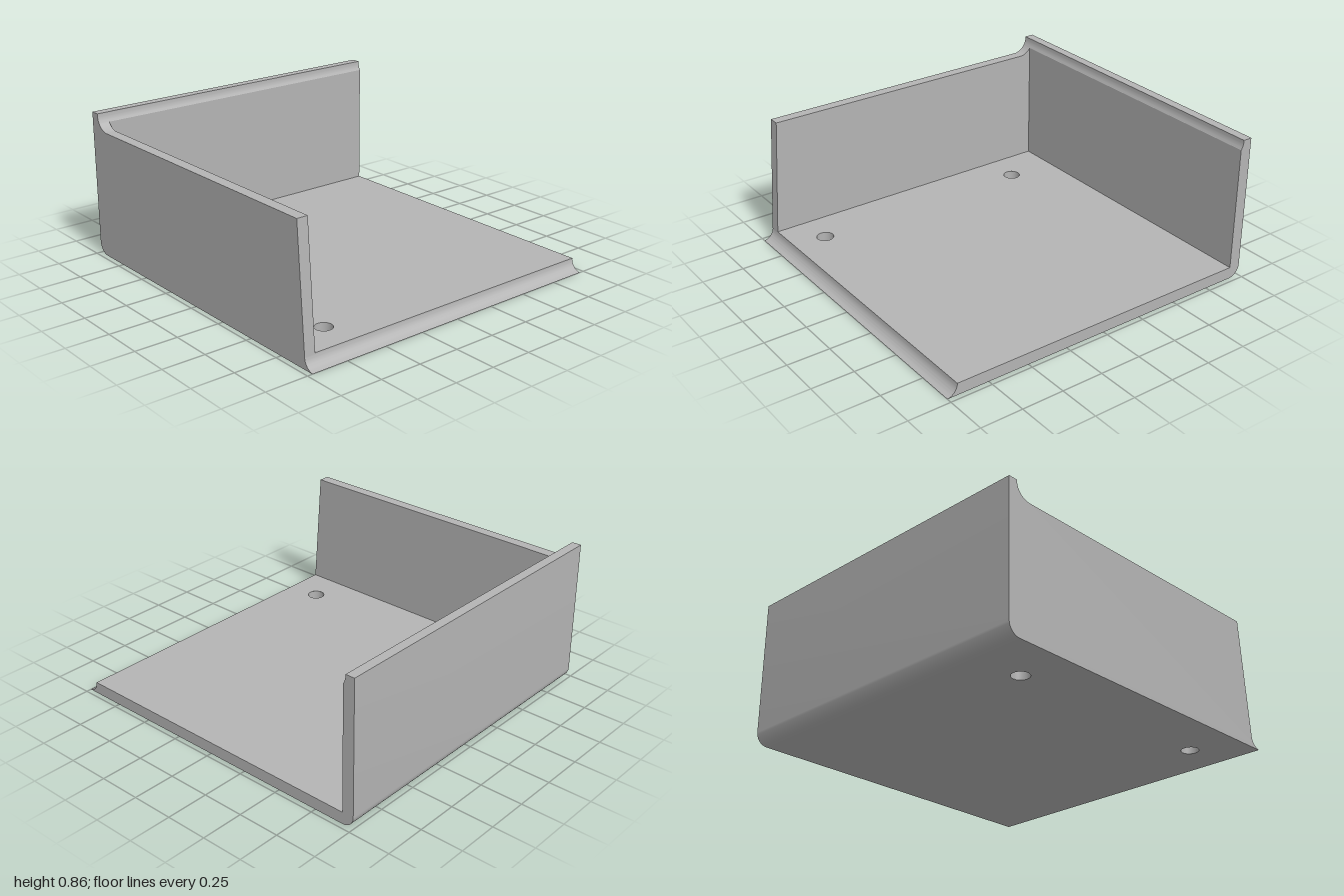
import * as THREE from 'three';
import { mergeGeometries, toCreasedNormals } from 'three/addons/utils/BufferGeometryUtils.js';

const L = -0.97, R = 0.97, INNER = -0.905; // outer ends, inner face of the side wall
const T = 0.07, BACK = -0.93;              // floor thickness, inner face of the back wall

// Points [z, y] along an arc
function arc(z, y, r, a0, a1, n = 14) {
  return Array.from({ length: n + 1 }, (_, i) => {
    const a = a0 + (a1 - a0) * i / n;
    return [z + r * Math.cos(a), y + r * Math.sin(a)];
  });
}

// Strip following a [z, y] path between two x positions
function strip(path, x0, x1) {
  const pos = [], index = [];
  path.forEach(([z, y], i) => {
    pos.push(x0, y, z, x1, y, z);
    const k = 2 * i;
    if (i < path.length - 1) index.push(k, k + 2, k + 3, k, k + 3, k + 1);
  });
  const g = new THREE.BufferGeometry();
  g.setAttribute('position', new THREE.Float32BufferAttribute(pos, 3));
  g.setIndex(index);
  return g;
}

// Flat [z, y] outline at a given x, facing +x or -x
function cap(points, x, dir) {
  const s = new THREE.Shape(points.map(([z, y]) => new THREE.Vector2(-dir * z, y)));
  return new THREE.ShapeGeometry(s).rotateY(dir * Math.PI / 2).translate(x, 0, 0);
}

const holes = [[-0.69, -0.63], [-0.69, 0.74]];

// Horizontal sheet with screw holes, facing up or down
function sheet(x0, x1, z0, z1, y, dir) {
  const s = new THREE.Shape([[x0, z0], [x1, z0], [x1, z1], [x0, z1]].map(([x, z]) => new THREE.Vector2(x, -dir * z)));
  for (const [x, z] of holes) s.holes.push(new THREE.Path().absarc(x, -dir * z, 0.05, 0, Math.PI * 2));
  return new THREE.ShapeGeometry(s, 32).rotateX(-dir * Math.PI / 2).translate(0, y, 0);
}

// Inward-facing bore through the floor
function bore([x, z]) {
  return new THREE.CylinderGeometry(0.05, 0.05, T, 32, 1, true).scale(-1, 1, 1).translate(x, T / 2, z);
}

export function createModel() {
  const group = new THREE.Group();
  const grey = new THREE.MeshStandardMaterial({ color: 0xb4b4b4 });
  grey.name = 'grey';

  function part(name, geometries) {
    const parts = geometries.map((g) => {
      const n = g.index ? g.toNonIndexed() : g;
      n.deleteAttribute('uv');
      n.deleteAttribute('normal');
      return n;
    });
    const mesh = new THREE.Mesh(toCreasedNormals(mergeGeometries(parts), 0.5), grey);
    mesh.name = name;
    group.add(mesh);
  }

  // Profile pieces, running clockwise seen with z to the right
  const frontCove = [...arc(1.01, T, 0.07, Math.PI, Math.PI * 1.42), [1, 0]];
  const heel = arc(BACK, T, 0.07, -Math.PI / 2, -Math.PI);
  const split = Math.PI + Math.asin(0.05 / 0.09);
  const topCove = arc(-0.855, 0.855, 0.09, Math.PI, split, 8);
  const sideCove = arc(-0.855, 0.855, 0.09, split, Math.PI * 1.5, 10);
  const lipY = topCove[topCove.length - 1][1];
  const backPath = [...heel, [-1, 0.86], [-0.945, 0.86], ...topCove];
  const sideRim = [...sideCove, [0.89, 0.765], [0.94, T]];

  // Floor plate with coved front edge and two holes
  part('floor', [
    sheet(INNER, R, BACK, 0.94, T, 1),
    sheet(L, R, BACK, 1, 0, -1),
    strip(frontCove, L, R),
    cap([...frontCove, [BACK, 0], [BACK, T]], R, 1),
    ...holes.map(bore),
  ]);

  // Back wall with rounded heel and thinned top lip
  part('backWall', [
    strip(backPath, L, R),
    strip([[BACK, lipY], [BACK, T]], INNER, R),
    cap([...backPath, [BACK, T]], R, 1),
  ]);

  // Side wall with sloping front edge
  part('sideWall', [
    strip(sideRim, L, INNER),
    cap([...backPath, ...sideRim.slice(1), ...frontCove.slice(1)], L, -1),
    cap([...sideRim, [BACK, T]], INNER, 1),
  ]);

  return group;
}
